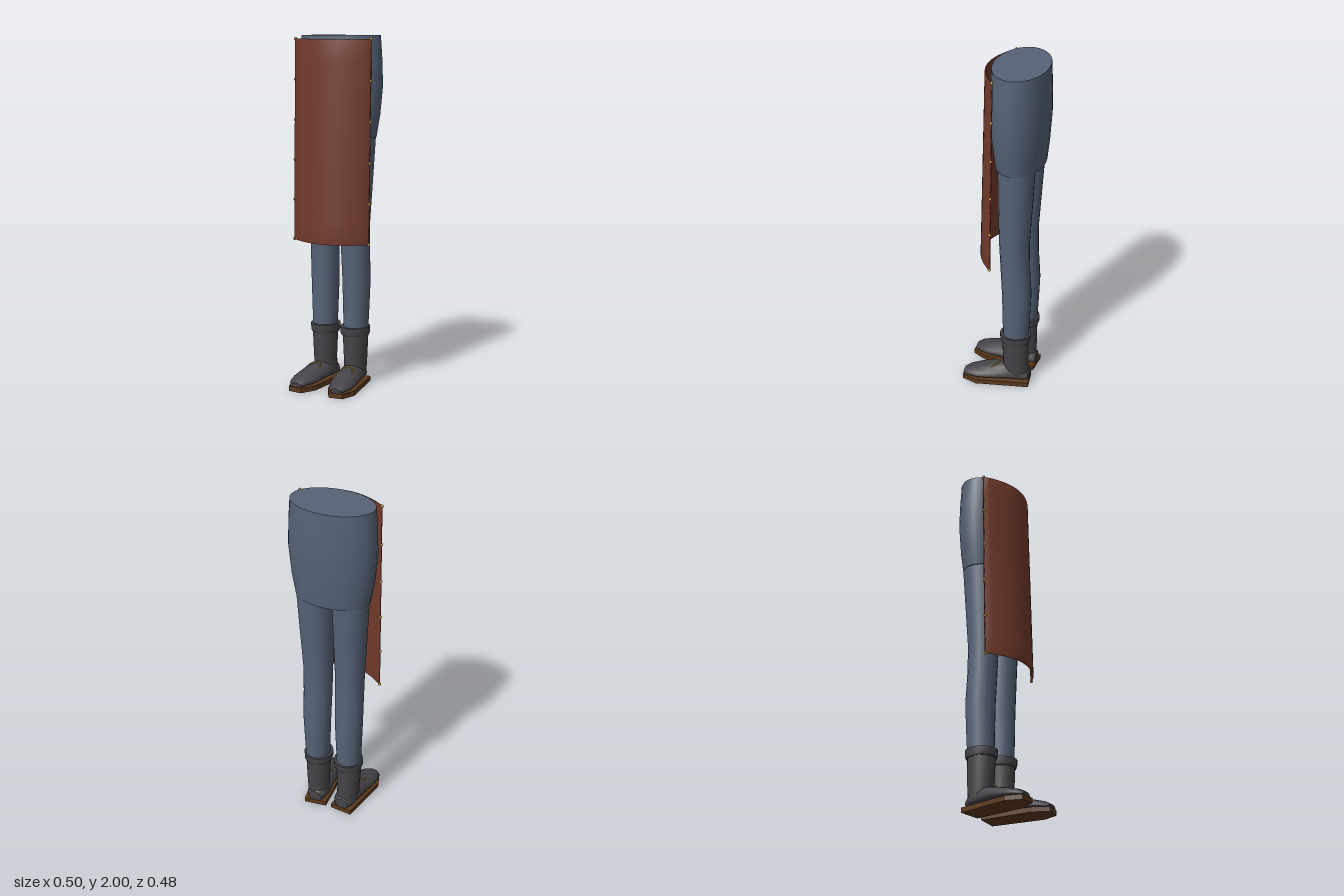
import * as THREE from 'three';
import { mergeVertices } from 'three/addons/utils/BufferGeometryUtils.js';

const mat = (name, color) => {
  const m = new THREE.MeshStandardMaterial({ color });
  m.name = name;
  return m;
};

// Skin a list of closed rings (arrays of Vector3) and cap both ends with a crease.
function loft(rings) {
  const n = rings[0].length, pos = [], idx = [];
  const add = (p) => pos.push(p.x, p.y, p.z) / 3 - 1;
  rings.forEach((r) => r.forEach(add));
  for (let j = 0; j < rings.length - 1; j++)
    for (let i = 0; i < n; i++) {
      const a = j * n + i, b = j * n + (i + 1) % n;
      idx.push(a, b, b + n, a, b + n, a + n);
    }
  [rings[0], rings[rings.length - 1]].forEach((r, end) => {
    const c = r.reduce((s, p) => s.add(p), new THREE.Vector3()).divideScalar(n);
    const ci = add(c), ids = r.map(add);
    for (let i = 0; i < n; i++) {
      const a = ids[i], b = ids[(i + 1) % n];
      if (end) idx.push(ci, a, b); else idx.push(ci, b, a);
    }
  });
  const g = new THREE.BufferGeometry();
  g.setAttribute('position', new THREE.Float32BufferAttribute(pos, 3));
  g.setIndex(idx);
  g.computeVertexNormals();
  return g;
}

const ring = (n, f) => Array.from({ length: n }, (_, i) => {
  const a = (i / n) * Math.PI * 2;
  return f(Math.cos(a), Math.sin(a));
});

// Upright limb from elliptical rows [y, centre x, centre z, radius x, radius z]
const upright = (rows, n, s = 1) => loft(rows.map(([y, cx, cz, rx, rz]) =>
  ring(n, (c, d) => new THREE.Vector3(s * cx + rx * c, y, cz - rz * d))));

export function createModel() {
  const model = new THREE.Group();
  model.name = 'apronedLegs';
  const cloth = mat('slate cloth', 0x566377);
  const leather = mat('russet leather', 0x733b2c);
  const boot = mat('charcoal boot', 0x464448);
  const soleMat = mat('brown sole', 0x5c3a1e);
  const brass = mat('brass', 0xb08d32);
  const put = (parent, name, geo, m) => {
    const mesh = new THREE.Mesh(geo, m);
    mesh.name = name;
    parent.add(mesh);
    return mesh;
  };

  // Hips
  put(model, 'hips', upright([
    [1.435, 0, -0.08, 0.215, 0.137],
    [1.56, 0, -0.08, 0.237, 0.15],
    [1.72, 0, -0.08, 0.252, 0.16],
    [1.86, 0, -0.08, 0.248, 0.158],
    [2.0, 0, -0.08, 0.238, 0.152],
  ], 28), cloth);

  for (const s of [1, -1]) {
    const leg = new THREE.Group();
    leg.name = s > 0 ? 'leftLeg' : 'rightLeg';
    model.add(leg);

    // Trouser leg
    put(leg, 'trouserLeg', upright([
      [0.3, 0.099, -0.08, 0.07, 0.075],
      [0.45, 0.1, -0.083, 0.075, 0.08],
      [0.62, 0.1, -0.085, 0.081, 0.085],
      [0.78, 0.098, -0.076, 0.083, 0.084],
      [0.95, 0.098, -0.07, 0.085, 0.086],
      [1.2, 0.102, -0.076, 0.095, 0.096],
      [1.48, 0.106, -0.085, 0.105, 0.105],
    ], 20, s), cloth);

    // Boot shaft and folded cuff
    put(leg, 'bootShaft', upright([
      [0.05, 0.09, -0.085, 0.064, 0.073],
      [0.13, 0.098, -0.08, 0.065, 0.075],
      [0.31, 0.098, -0.078, 0.074, 0.079],
    ], 18, s), boot);
    put(leg, 'bootCuff', upright([
      [0.297, 0.096, -0.078, 0.08, 0.086],
      [0.31, 0.096, -0.078, 0.084, 0.091],
      [0.345, 0.096, -0.078, 0.085, 0.092],
    ], 18, s), boot);

    // Foot: sections [z, centre x, half width, top] run from heel to toe
    const foot = [
      [-0.16, 0.086, 0.042, 0.09], [-0.13, 0.088, 0.06, 0.115],
      [-0.05, 0.096, 0.069, 0.132], [0.0, 0.102, 0.073, 0.126],
      [0.08, 0.112, 0.078, 0.104], [0.14, 0.119, 0.074, 0.086],
      [0.195, 0.125, 0.056, 0.07], [0.226, 0.128, 0.034, 0.052],
    ].map(([z, cx, w, top]) => ring(14, (c, d) => {
      const h = top - 0.027;
      return new THREE.Vector3(s * cx + w * c, 0.027 + h * (0.35 + d * (d > 0 ? 0.65 : 0.35)), z);
    }));
    put(leg, 'bootFoot', loft(foot), boot);

    // Six-sided sole, toes turned slightly out
    const outline = [[0.17, 0.228], [0.088, 0.237], [0.04, 0.15],
      [0.018, -0.155], [0.15, -0.17], [0.2, 0.14]];
    const shape = new THREE.Shape(outline.map(([x, z]) => new THREE.Vector2(s * x, -z)));
    const sole = new THREE.ExtrudeGeometry(shape, { depth: 0.028, bevelEnabled: false });
    put(leg, 'sole', sole.rotateX(-Math.PI / 2), soleMat);

    // Brass cord across the instep
    const cord = new THREE.CatmullRomCurve3([
      [0.148, 0.102, 0.062], [0.135, 0.118, 0.03], [0.105, 0.127, 0.016],
      [0.075, 0.118, 0.03], [0.062, 0.102, 0.055],
    ].map(([x, y, z]) => new THREE.Vector3(s * x, y, z)));
    put(leg, 'instepCord', new THREE.TubeGeometry(cord, 16, 0.004, 6), brass);
  }

  // Apron: a slab bowed across its width and leaning forward towards the hem
  const y0 = 0.845, y1 = 1.98, half = 0.236;
  const edgeZ = (y) => THREE.MathUtils.mapLinear(y, y0, y1, 0.037, 0.016);
  const slab = new THREE.BoxGeometry(half * 2, y1 - y0, 0.012, 16, 10, 1);
  slab.deleteAttribute('normal');
  slab.deleteAttribute('uv');
  const apron = mergeVertices(slab);
  const p = apron.attributes.position;
  for (let i = 0; i < p.count; i++) {
    const x = p.getX(i), y = p.getY(i) + (y0 + y1) / 2, t = x / half;
    const bow = THREE.MathUtils.mapLinear(y, y0, y1, 0.105, 0.088);
    p.setXYZ(i, x, y, edgeZ(y) + bow * (1 - t * t) + p.getZ(i));
  }
  apron.computeVertexNormals();
  put(model, 'apron', apron, leather);

  // Brass studs down both apron edges
  const stud = new THREE.SphereGeometry(0.009, 10, 8);
  for (const s of [1, -1])
    for (let i = 0; i < 6; i++) {
      const y = y0 + ((y1 - y0) * i) / 5;
      put(model, 'apronStud', stud, brass).position.set(s * half, y, edgeZ(y));
    }

  return model;
}
